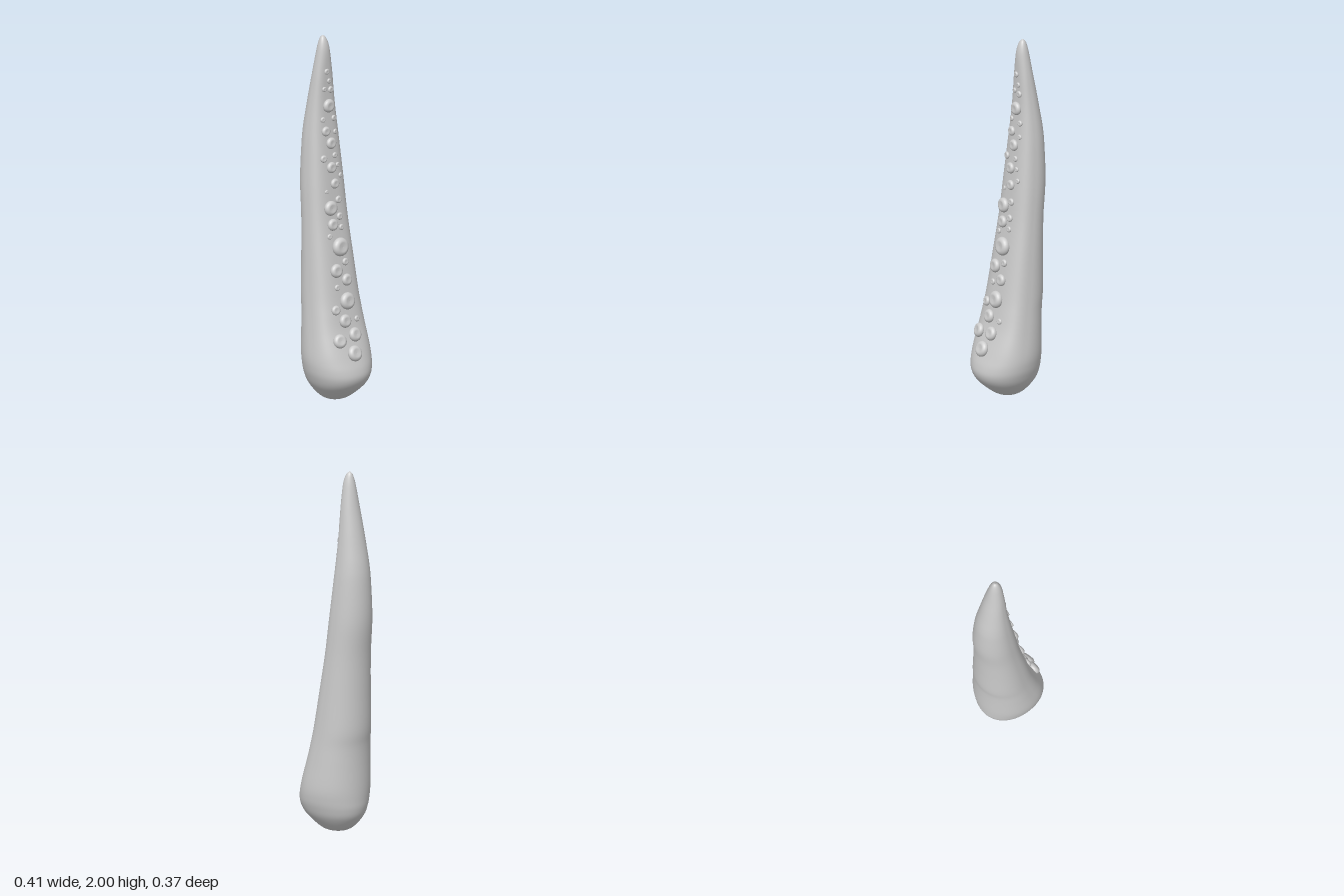
import * as THREE from 'three';

// Cross-section stations: height, back edge x, sucker-side edge x, half width in z
const STATIONS = [
  [0, 0.01, 0.01, 0], [0.015, -0.06, 0.07, 0.06], [0.045, -0.105, 0.118, 0.1],
  [0.1, -0.148, 0.178, 0.145], [0.15, -0.164, 0.204, 0.168], [0.2, -0.168, 0.2, 0.18],
  [0.27, -0.17, 0.174, 0.183], [0.4, -0.17, 0.125, 0.17], [0.5, -0.173, 0.1, 0.16],
  [0.6, -0.183, 0.08, 0.152], [0.8, -0.185, 0.047, 0.138], [1.0, -0.191, 0.015, 0.125],
  [1.2, -0.208, -0.008, 0.115], [1.4, -0.204, -0.03, 0.1], [1.5, -0.195, -0.04, 0.09],
  [1.6, -0.178, -0.048, 0.078], [1.7, -0.16, -0.052, 0.066], [1.8, -0.141, -0.052, 0.054],
  [1.9, -0.124, -0.052, 0.039], [1.95, -0.114, -0.058, 0.029], [1.985, -0.103, -0.071, 0.016],
  [2, -0.088, -0.088, 0],
];

// Suckers: height, z, radius
const SUCKERS = [
  [0.29, 0.005, 0.043], [0.365, 0.078, 0.038], [0.38, -0.027, 0.038], [0.46, 0.021, 0.036],
  [0.455, -0.064, 0.016], [0.525, 0.069, 0.026], [0.56, -0.012, 0.046], [0.64, 0.042, 0.017],
  [0.67, -0.027, 0.032], [0.73, 0.037, 0.037], [0.765, -0.032, 0.02], [0.85, -0.005, 0.05],
  [0.915, 0.053, 0.015], [0.95, -0.032, 0.016], [0.975, 0.027, 0.032], [1.01, -0.027, 0.02],
  [1.065, 0.032, 0.04], [1.1, -0.027, 0.02], [1.155, 0.047, 0.011], [1.19, -0.01, 0.027],
  [1.225, -0.058, 0.014], [1.28, 0.005, 0.03], [1.285, -0.042, 0.014], [1.335, 0.05, 0.02],
  [1.34, -0.026, 0.016], [1.41, -0.005, 0.031], [1.465, -0.042, 0.014], [1.48, 0.024, 0.026],
  [1.545, 0.037, 0.015], [1.54, -0.037, 0.016], [1.615, -0.003, 0.036], [1.71, 0.021, 0.014],
  [1.7, -0.021, 0.018], [1.75, -0.012, 0.014], [1.805, 0.005, 0.016],
];

const edge = (k) => new THREE.CatmullRomCurve3(
  STATIONS.map((s) => new THREE.Vector3(s[k], s[0], s[3])), false, 'catmullrom');
const backEdge = edge(1);
const frontEdge = edge(2);

// Section at curve parameter t, widest slightly towards the sucker side
function section(t) {
  const b = backEdge.getPoint(t), f = frontEdge.getPoint(t);
  const flat = THREE.MathUtils.smoothstep(b.y, 0.15, 0.45) * (1 - THREE.MathUtils.smoothstep(b.y, 1.7, 1.95));
  return { y: b.y, back: b.x, front: f.x, mid: b.x + (f.x - b.x) * 0.55, half: b.z, n: 2.1 + 0.9 * flat };
}

// Section at a given height, found by bisection
function sectionAt(y) {
  let lo = 0, hi = 1;
  for (let i = 0; i < 30; i++) {
    const m = (lo + hi) / 2;
    if (backEdge.getPoint(m).y < y) lo = m; else hi = m;
  }
  return section(lo);
}

// Point on the flattened sucker face
function facePoint(y, z) {
  const s = sectionAt(y);
  const k = Math.min(Math.abs(z) / s.half, 0.98);
  return new THREE.Vector3(s.mid + (s.front - s.mid) * Math.pow(1 - Math.pow(k, s.n), 1 / s.n), y, z);
}

// Lofted body: round on the back, flattened on +x
function bodyGeometry() {
  const rows = 126, cols = 56, pos = [], index = [];
  for (let i = 0; i <= rows; i++) {
    const s = section(i / rows);
    for (let j = 0; j < cols; j++) {
      const a = (j / cols) * Math.PI * 2, c = Math.cos(a), q = Math.sin(a);
      const e = 2 / (c > 0 ? s.n : 2);
      const reach = c > 0 ? s.front - s.mid : s.mid - s.back;
      pos.push(s.mid + Math.sign(c) * Math.pow(Math.abs(c), e) * reach, s.y,
        Math.sign(q) * Math.pow(Math.abs(q), e) * s.half);
    }
  }
  for (let i = 0; i < rows; i++) {
    for (let j = 0; j < cols; j++) {
      const k = (j + 1) % cols;
      const a = i * cols + j, b = i * cols + k, c = a + cols, d = b + cols;
      index.push(a, c, b, b, c, d);
    }
  }
  const g = new THREE.BufferGeometry();
  g.setAttribute('position', new THREE.Float32BufferAttribute(pos, 3));
  g.setIndex(index);
  g.computeVertexNormals();
  return g;
}

export function createModel() {
  const group = new THREE.Group();
  group.name = 'tentacle';
  const material = new THREE.MeshStandardMaterial({ color: 0xcccccc, roughness: 0.7 });

  const body = new THREE.Mesh(bodyGeometry(), material);
  body.name = 'body';
  group.add(body);

  // Unit sucker: bulging cup with a shallow dimple
  const profile = new THREE.SplineCurve([
    [0.7, -0.5], [0.92, -0.1], [1, 0.2], [0.88, 0.48], [0.62, 0.64], [0.35, 0.62], [0, 0.58],
  ].map(([x, y]) => new THREE.Vector2(x, y))).getPoints(18);
  profile[profile.length - 1].x = 0;
  const cup = new THREE.LatheGeometry(profile, 24);

  const suckers = new THREE.Group();
  suckers.name = 'suckers';
  const up = new THREE.Vector3(0, 1, 0);
  for (const [y, z, r] of SUCKERS) {
    const p = facePoint(y, z), h = 0.01;
    const dy = facePoint(y + h, z).sub(facePoint(y - h, z));
    const dz = facePoint(y, z + h).sub(facePoint(y, z - h));
    const normal = dy.cross(dz).normalize();
    const sucker = new THREE.Mesh(cup, material);
    sucker.name = 'sucker';
    sucker.position.copy(p);
    sucker.quaternion.setFromUnitVectors(up, normal);
    sucker.scale.setScalar(r);
    suckers.add(sucker);
  }
  group.add(suckers);
  return group;
}
